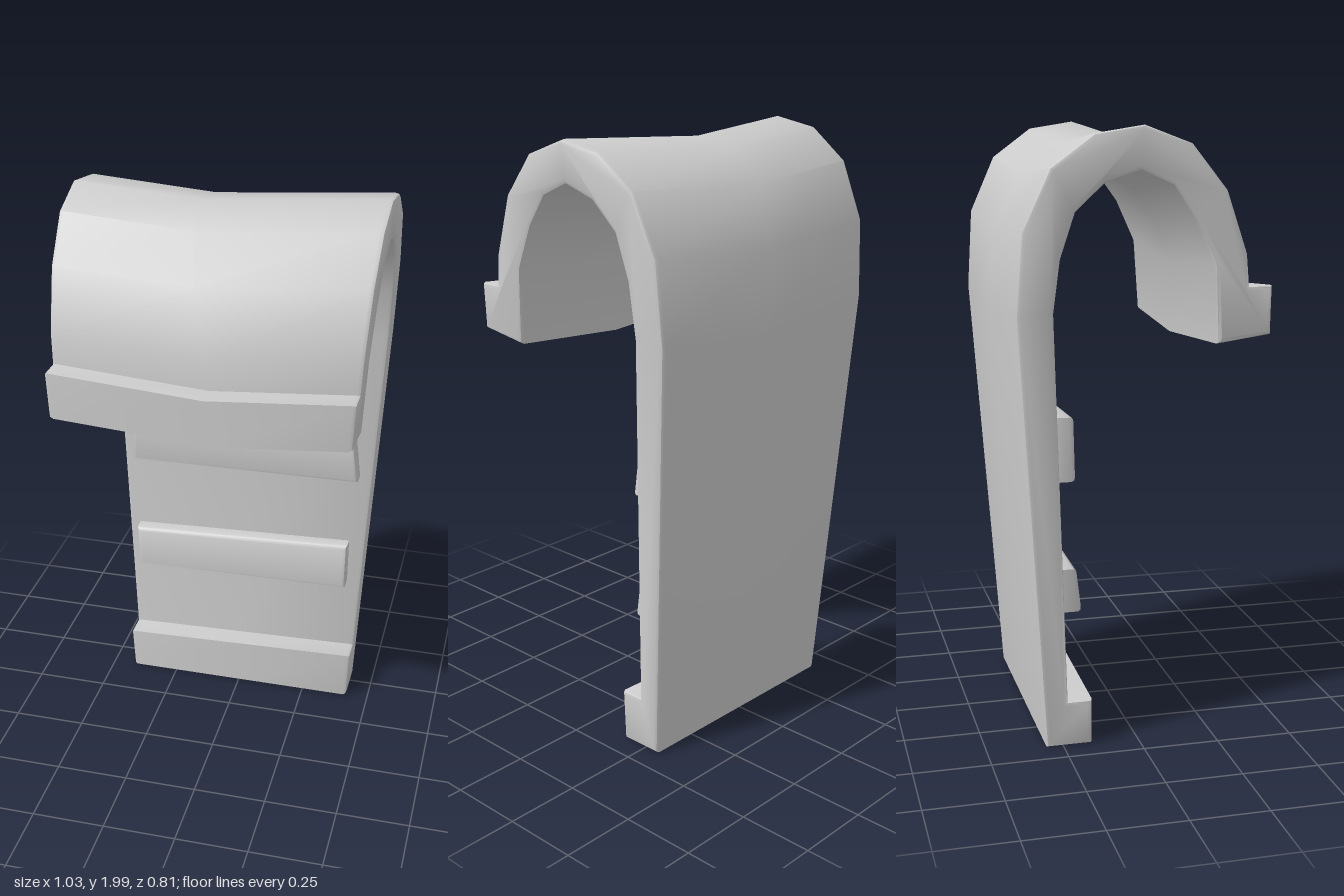
import * as THREE from 'three';
import { toCreasedNormals } from 'three/addons/utils/BufferGeometryUtils.js';

const grey = new THREE.MeshStandardMaterial({ color: 0xcccccc });
const toShape = (pts) => new THREE.Shape(pts.map(([a, b]) => new THREE.Vector2(a, b)));

// Move every vertex of a geometry by a rule
function deform(geometry, rule) {
  const p = geometry.attributes.position;
  const v = new THREE.Vector3();
  for (let i = 0; i < p.count; i++) {
    v.fromBufferAttribute(p, i);
    rule(v);
    p.setXYZ(i, v.x, v.y, v.z);
  }
  return geometry;
}

function makeMesh(name, geometry, crease) {
  const mesh = new THREE.Mesh(toCreasedNormals(geometry, crease), grey);
  mesh.name = name;
  return mesh;
}

// Side profile as [z, y]: back panel, arch, front lip, inside of arch, foot
const hookProfile = [
  [-0.305, 0.005], [-0.402, 1.42], [-0.385, 1.68], [-0.3, 1.87], [-0.165, 1.97],
  [-0.01, 1.995], [0.14, 1.94], [0.255, 1.8], [0.325, 1.6], [0.335, 1.5],
  [0.41, 1.5], [0.41, 1.345], [0.235, 1.32], [0.22, 1.57], [0.155, 1.71],
  [0.08, 1.815], [-0.02, 1.86], [-0.13, 1.825], [-0.22, 1.74], [-0.265, 1.6],
  [-0.285, 1.43], [-0.235, 0.172], [-0.155, 0.172], [-0.155, 0.005],
];

function createHook() {
  const bevel = 0.03;
  const geometry = new THREE.ExtrudeGeometry(toShape(hookProfile), {
    depth: 2 - 2 * bevel, steps: 2,
    bevelThickness: bevel, bevelSize: 0.014, bevelOffset: -0.014, bevelSegments: 2,
  });
  geometry.translate(0, 0, bevel - 1);
  geometry.rotateY(-Math.PI / 2);
  // Widen upwards, sag the arch along its middle and tilt the foot's top edge
  deform(geometry, (v) => {
    const s = v.x;
    const y = v.y;
    const upper = THREE.MathUtils.clamp((y - 1.1) / 0.25, 0, 1);
    const middle = 1 - Math.abs(s);
    const kink = THREE.MathUtils.mapLinear(y, 1.4, 1.95, 0.04, -0.08);
    v.x = s * (0.42 + 0.0485 * y) + kink * middle * upper;
    v.y -= 0.038 * middle * upper;
    if (y > 1.6) v.y += 0.006 * s;
    if (y > 0.1 && y < 0.3) v.y += 0.013 * s;
  });
  return makeMesh('hookBody', geometry, 0.62);
}

// Raised bar on the panel: corners in [x, y], front face at z, leaning by slope
function createBar(name, corners, z, slope) {
  const depth = 0.09;
  const bevel = 0.014;
  const geometry = new THREE.ExtrudeGeometry(toShape(corners), {
    depth: depth - 2 * bevel, bevelThickness: bevel,
    bevelSize: bevel, bevelOffset: -bevel, bevelSegments: 2,
  });
  geometry.translate(0, 0, z - depth + bevel);
  const base = corners[0][1];
  deform(geometry, (v) => { v.z += slope * (v.y - base); });
  return makeMesh(name, geometry, 0.7);
}

export function createModel() {
  const group = new THREE.Group();
  group.name = 'clipHook';
  group.add(
    createHook(),
    createBar('upperBar', [[-0.412, 0.888], [0.417, 0.898], [0.395, 1.074], [-0.408, 1.094]], -0.203, -0.02),
    createBar('lowerBar', [[-0.392, 0.452], [0.39, 0.464], [0.39, 0.63], [-0.407, 0.6]], -0.18, -0.14),
  );
  return group;
}
